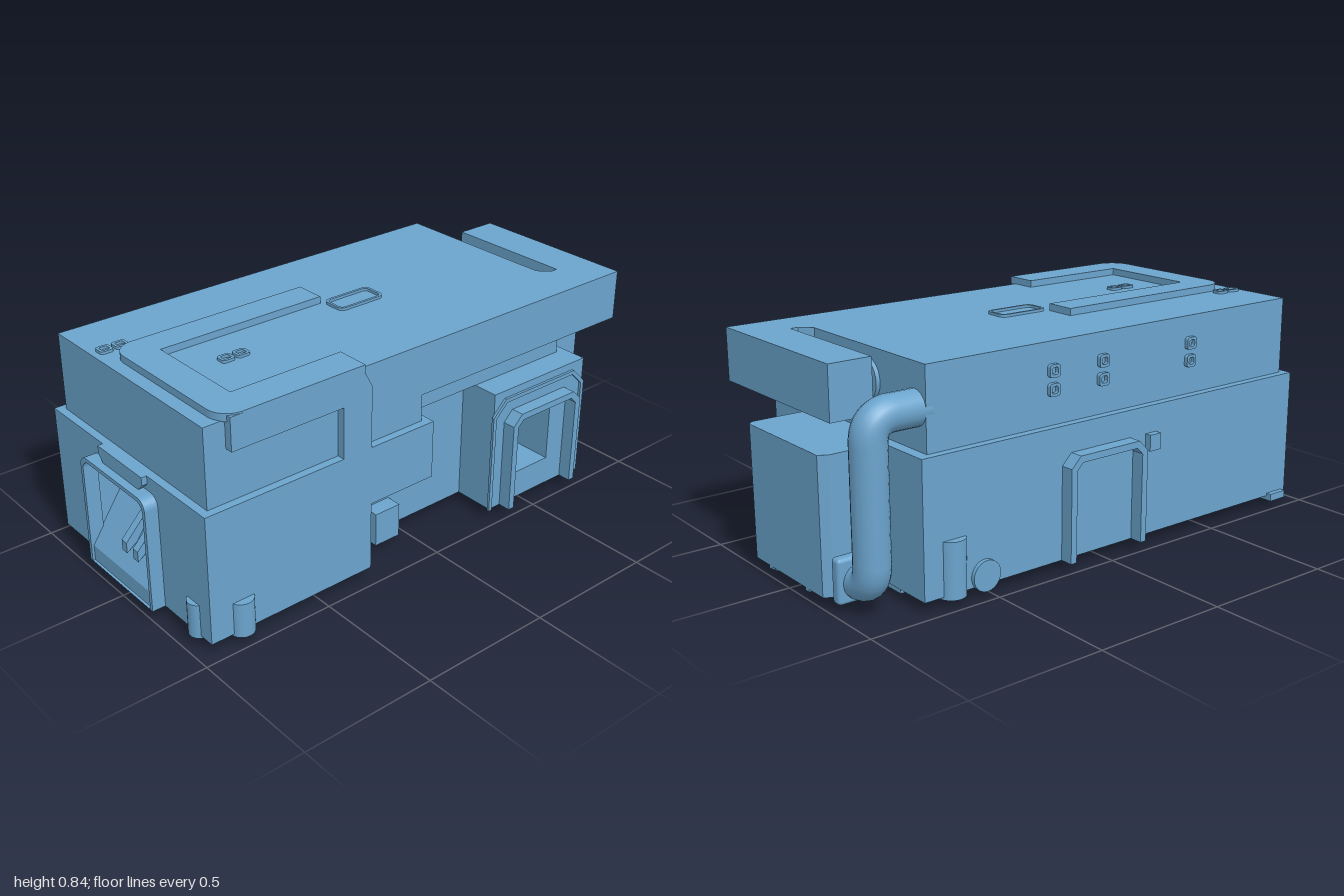
import * as THREE from 'three';
import { RoundedBoxGeometry } from 'three/addons/geometries/RoundedBoxGeometry.js';

export function createModel() {
  const model = new THREE.Group();
  const blue = new THREE.MeshStandardMaterial({ color: 0x6ba4cd, side: THREE.DoubleSide });
  blue.name = 'blue';

  const add = (name, geo) => {
    const m = new THREE.Mesh(geo, blue);
    m.name = name;
    model.add(m);
    return m;
  };
  // Box from its minimum and maximum on each axis
  const box = (name, x0, x1, y0, y1, z0, z1) =>
    add(name, new THREE.BoxGeometry(x1 - x0, y1 - y0, z1 - z0)
      .translate((x0 + x1) / 2, (y0 + y1) / 2, (z0 + z1) / 2));
  const cyl = (name, x, y, z, r, h, axis = 'y') => {
    const g = new THREE.CylinderGeometry(r, r, h, 24);
    if (axis === 'x') g.rotateZ(Math.PI / 2);
    if (axis === 'z') g.rotateX(Math.PI / 2);
    return add(name, g.translate(x, y, z));
  };
  const poly = pts => new THREE.Shape(pts.map(p => new THREE.Vector2(...p)));
  const extrude = (shape, depth) =>
    new THREE.ExtrudeGeometry(shape, { depth, bevelEnabled: false, curveSegments: 8 });
  // Plan outline in x, z raised from y0 to y1
  const plan = (name, pts, y0, y1) =>
    add(name, extrude(poly(pts.map(([x, z]) => [x, -z])), y1 - y0).rotateX(-Math.PI / 2).translate(0, y0, 0));
  // Side outline in z, y, extruded from x0 to x1
  const side = (name, pts, x0, x1, hole) => {
    const s = poly(pts.map(([z, y]) => [-z, y]));
    if (hole) s.holes.push(poly(hole.map(([z, y]) => [-z, y])));
    return add(name, extrude(s, x1 - x0).rotateY(Math.PI / 2).translate(x0, 0, 0));
  };
  const rect = (a0, a1, b0, b1) => [[a0, b0], [a1, b0], [a1, b1], [a0, b1]];
  // Open-bottomed arch with chamfered top corners and wall thickness w
  const arch = (a0, a1, b0, b1, c, w) => [
    [a0, b0], [a0, b1 - c], [a0 + c, b1], [a1 - c, b1], [a1, b1 - c], [a1, b0],
    [a1 - w, b0], [a1 - w, b1 - c - w * 0.4], [a1 - c - w * 0.4, b1 - w],
    [a0 + c + w * 0.4, b1 - w], [a0 + w, b1 - c - w * 0.4], [a0 + w, b0]];
  const roundRect = (w, h, r) => {
    const s = new THREE.Shape(), x = w / 2, y = h / 2;
    s.absarc(x - r, y - r, r, 0, Math.PI / 2);
    s.absarc(-x + r, y - r, r, Math.PI / 2, Math.PI);
    s.absarc(-x + r, -y + r, r, Math.PI, Math.PI * 1.5);
    s.absarc(x - r, -y + r, r, Math.PI * 1.5, Math.PI * 2);
    return s;
  };
  const loop = (w, h, t, d) => {
    const s = roundRect(w, h, Math.min(w, h) * 0.25);
    s.holes.push(roundRect(w - 2 * t, h - 2 * t, Math.min(w, h) * 0.15));
    return extrude(s, d);
  };

  // Lower body, cut away on one flank
  plan('lowerBody', [[-.46, .75], [.46, .75], [.46, .28], [.3, .28], [.3, -.77], [-.46, -.77]], .04, .3);
  plan('upperBody', [[-.46, .75], [.46, .75], [.46, 0], [.3, 0], [.3, -.77], [-.46, -.77]], .3, .52);

  // Front wall with its arched bay
  const bay = (x0, x1, top, r) => {
    const s = new THREE.Shape();
    s.moveTo(x0, .04);
    s.lineTo(x1, .04);
    s.lineTo(x1, top - r);
    s.absarc(x1 - r, top - r, r, 0, Math.PI / 2);
    s.absarc(x0 + r, top - r, r, Math.PI / 2, Math.PI);
    s.lineTo(x0, .04);
    return s;
  };
  const wall = poly([[-.46, .04], [-.2, .04], [-.2, .45], [.18, .45], [.18, .04], [.46, .04], [.46, .52], [-.46, .52]]);
  add('frontWall', extrude(wall, .2).translate(0, 0, .75));
  const frame = bay(-.21, .19, .465, .04);
  frame.holes.push(bay(-.195, .175, .45, .035));
  add('frontFrame', extrude(frame, .055).translate(0, 0, .945));
  side('bayRamp', [[.75, .45], [.75, .04], [.99, .04], [.99, .1]], -.2, .18);
  for (const x of [-.03, .04]) side('bayBracket', [[.78, .4], [.97, .2], [.97, .16], [.78, .3]], x, x + .03);
  add('frontTab', extrude(poly([[-.135, .52], [-.135, .49], [-.11, .465], [.11, .465], [.135, .49], [.135, .52]]), .025)
    .translate(0, 0, .945));

  // Flank housing and window frames
  side('sideHousing', rect(-.77, -.3, .04, .52), .3, .46, rect(-.6, -.41, .15, .41));
  side('housingLip', arch(-.77, -.29, .04, .49, .06, .015), .46, .47);
  side('leftWindowFrame', arch(-.71, -.355, .04, .43, .04, .025), .46, .51);
  side('rightWindowFrame', arch(-.2, .15, .04, .42, .04, .025), -.51, -.46);
  box('sideKnob', -.485, -.46, .36, .42, .185, .235);

  // Rear block
  plan('rearBlock', [[-.24, -.76], [-.24, -.97], [-.22, -1], [.22, -1], [.24, -.98], [.24, -.76]], .04, .52);
  for (const x of [-.12, .12]) box('rearRib', x - .012, x + .012, .03, .14, -1, -.97);

  // Lid with the rear slot
  box('lidFront', -.43, .43, .52, .62, .03, .92);
  box('lidNeck', -.43, .36, .52, .62, -.73, .03);
  plan('lidTop', [[-.43, .92], [.43, .92], [.43, -.96], [-.24, -.96], [-.24, -.8], [.27, -.8],
    [.27, -.77], [.23, -.73], [-.43, -.73]], .62, .81);
  for (const x of [-.1, .1]) cyl('slotLamp', x, .7, -.735, .075, .02, 'z');

  // Handle wrapping from the lid over its edge
  const h = new THREE.Shape();
  h.moveTo(-.17, -.08);
  h.lineTo(-.17, -.79);
  h.absarc(-.09, -.79, .08, Math.PI, Math.PI * 1.5);
  h.lineTo(.38, -.87);
  h.absarc(.38, -.79, .08, Math.PI * 1.5, Math.PI * 2);
  for (const p of [[.46, -.31], [.335, -.31], [.335, -.75], [-.055, -.75], [-.055, -.08]]) h.lineTo(...p);
  add('topHandle', extrude(h, .028).rotateX(-Math.PI / 2).translate(0, .808, 0));
  side('sideHandle', [[.84, .71], [.84, .83], [.36, .83], [.31, .805], [.28, .75], [.28, .52], [.4, .52], [.4, .71]], .425, .46);

  // Raised loops on the lid
  const flat = (name, x, z, w, d, t) =>
    add(name, loop(w, d, t, .012).rotateX(-Math.PI / 2).translate(x, .808, z));
  flat('topPanelRim', 0, -.03, .1, .2, .01);
  for (const [x, z] of [[-.21, .84], [.1, .57]])
    for (const s of [-.03, .03]) flat('topLoop', x, z + s, .045, .05, .01);
  for (const z of [-.22, 0, .42])
    for (const y of [.645, .71])
      add('sideLoop', loop(.045, .045, .01, .015).rotateY(-Math.PI / 2).translate(-.43, y, z));

  // Rear pipe with rounded bends
  const path = new THREE.CurvePath(), V = (x, y, z) => new THREE.Vector3(x, y, z);
  const line = (a, b) => path.add(new THREE.LineCurve3(a, b));
  const bend = (a, b, c) => path.add(new THREE.QuadraticBezierCurve3(a, b, c));
  line(V(-.37, .66, -.7), V(-.37, .66, -.82));
  bend(V(-.37, .66, -.82), V(-.37, .66, -.905), V(-.37, .575, -.905));
  line(V(-.37, .575, -.905), V(-.37, .18, -.905));
  bend(V(-.37, .18, -.905), V(-.37, .1, -.905), V(-.29, .1, -.905));
  line(V(-.29, .1, -.905), V(-.22, .1, -.905));
  add('rearPipe', new THREE.TubeGeometry(path, 72, .062, 20));
  add('pipeFlange', new RoundedBoxGeometry(.045, .16, .16, 2, .015).translate(-.272, .108, -.905));
  cyl('drainPipe', .17, .03, -.9, .062, .06);

  // Pegs, wheel and feet
  cyl('frontPeg', .365, .095, .93, .04, .13);
  cyl('cornerPeg', .445, .095, .82, .045, .13);
  box('recessPeg', .3, .36, .03, .16, .06, .17);
  cyl('rearPeg', -.44, .13, -.65, .05, .2);
  cyl('sideWheel', -.46, .075, -.53, .055, .03, 'x');
  for (const [x, z, w, d] of [[-.38, .89, .2, .08], [-.36, .42, .1, .08], [.26, .13, .1, .1], [.25, .31, .1, .1], [-.27, -.73, .09, .07]])
    box('foot', x - w / 2, x + w / 2, .022, .05, z - d / 2, z + d / 2);

  return model;
}
